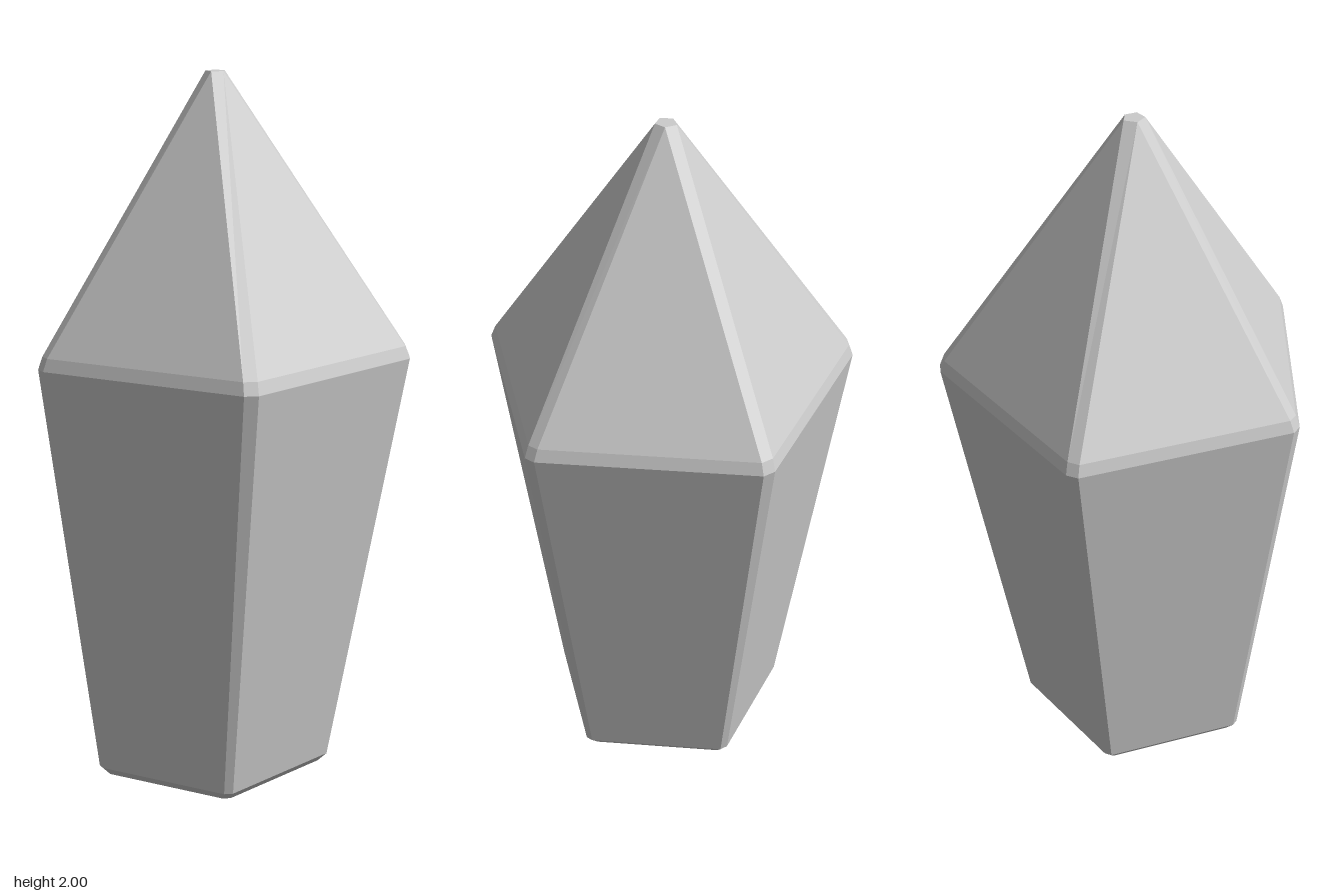
import * as THREE from 'three';

// Bevelled five-sided outline at the shoulder: two points (x, z) per corner
const OUTLINE = [
  [0, -0.505], [0.035, -0.5], // back
  [0.508, -0.125], [0.52, -0.09], // left
  [0.305, 0.48], [0.28, 0.5], // front left
  [-0.33, 0.475], [-0.36, 0.45], // front right
  [-0.52, -0.135], [-0.51, -0.165], // right
];

// Tiny tip facet: one point per side, shared by the two neighbouring bevels
const TIP = [[0.01, 0.01], [0.015, 0.043], [-0.012, 0.063], [-0.04, 0.043], [-0.027, 0.01]];

const ring = (y, scale, dx = 0, dz = 0) =>
  OUTLINE.map(([x, z]) => new THREE.Vector3(x * scale + dx, y, z * scale + dz));

// Joins the rings, lowest first, into a closed faceted solid
function loft(rings) {
  const points = [];
  const tri = (a, b, c) => {
    if (a.equals(b) || b.equals(c) || c.equals(a)) return;
    for (const p of [a, b, c]) points.push(p.clone());
  };
  const n = rings[0].length;
  for (let r = 0; r < rings.length - 1; r++) {
    const low = rings[r], high = rings[r + 1];
    for (let i = 0; i < n; i++) {
      const j = (i + 1) % n;
      tri(low[j], low[i], high[i]);
      tri(low[j], high[i], high[j]);
    }
  }
  // End caps
  const base = rings[0], top = rings[rings.length - 1];
  for (let i = 1; i < n - 1; i++) {
    tri(base[0], base[i], base[i + 1]);
    tri(top[0], top[i + 1], top[i]);
  }
  const geometry = new THREE.BufferGeometry().setFromPoints(points);
  geometry.computeVertexNormals();
  return geometry;
}

export function createModel() {
  const group = new THREE.Group();
  group.name = 'crystal';

  const tip = OUTLINE.map((_, i) => {
    const [x, z] = TIP[(Math.floor((i + 1) / 2) + 4) % 5];
    return new THREE.Vector3(x, 2, z);
  });

  const crystal = new THREE.Mesh(
    loft([
      ring(0, 0.6, -0.035, 0.01), // base
      ring(0.025, 0.645, -0.035, 0.01), // base bevel
      ring(1.215, 1), // shoulder
      ring(1.25, 0.975), // shoulder bevel
      tip,
    ]),
    new THREE.MeshStandardMaterial({ color: 0xcccccc, flatShading: true })
  );
  crystal.name = 'crystalBody';
  group.add(crystal);
  return group;
}
